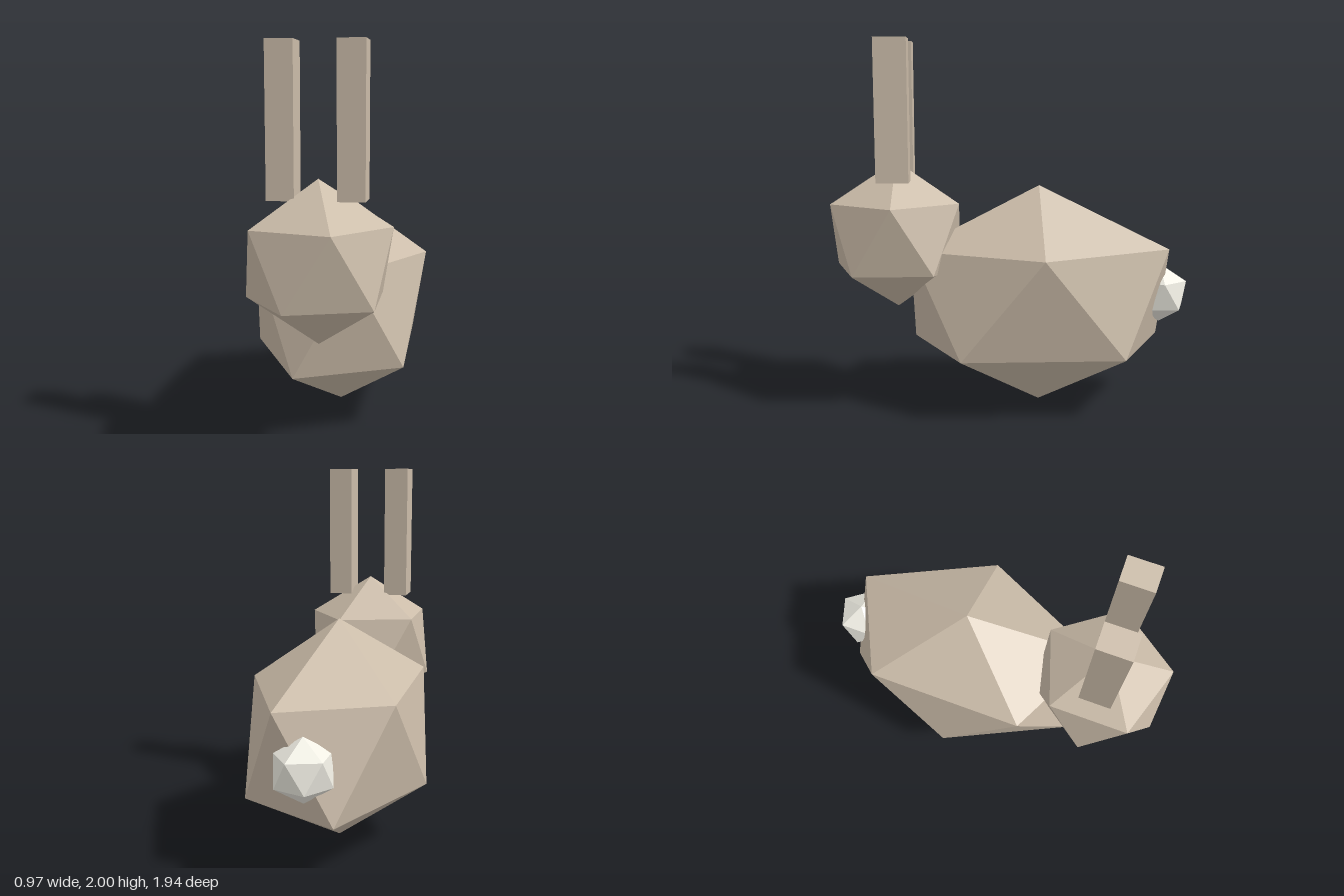
import * as THREE from 'three';

const fur = new THREE.MeshStandardMaterial({ color: 0xcbbca9, flatShading: true });
const white = new THREE.MeshStandardMaterial({ color: 0xf0eee4, flatShading: true });

// Icosahedron standing on a corner, stretched to the given radii
function gem(name, [rx, ry, rz], [x, y, z], material) {
  const geometry = new THREE.IcosahedronGeometry(1, 0);
  const golden = (1 + Math.sqrt(5)) / 2;
  geometry.rotateZ(-Math.atan(1 / golden)); // bring a corner to the top
  geometry.scale(rx, ry, rz);
  const mesh = new THREE.Mesh(geometry, material);
  mesh.name = name;
  mesh.position.set(x, y, z);
  return mesh;
}

export function createModel() {
  const model = new THREE.Group();
  model.name = 'rabbit';

  model.add(
    gem('body', [0.54, 0.61, 0.82], [0, 0.61, -0.15], fur),
    gem('head', [0.403, 0.403, 0.403], [0, 0.953, 0.63], fur),
    gem('tail', [0.165, 0.165, 0.165], [0, 0.61, -0.83], white)
  );

  // Upright ears, mirrored across the middle
  for (const side of [-1, 1]) {
    const ear = new THREE.Mesh(new THREE.BoxGeometry(0.134, 0.744, 0.17), fur);
    ear.name = side > 0 ? 'leftEar' : 'rightEar';
    ear.position.set(side * 0.168, 1.628, 0.63);
    model.add(ear);
  }

  return model;
}
